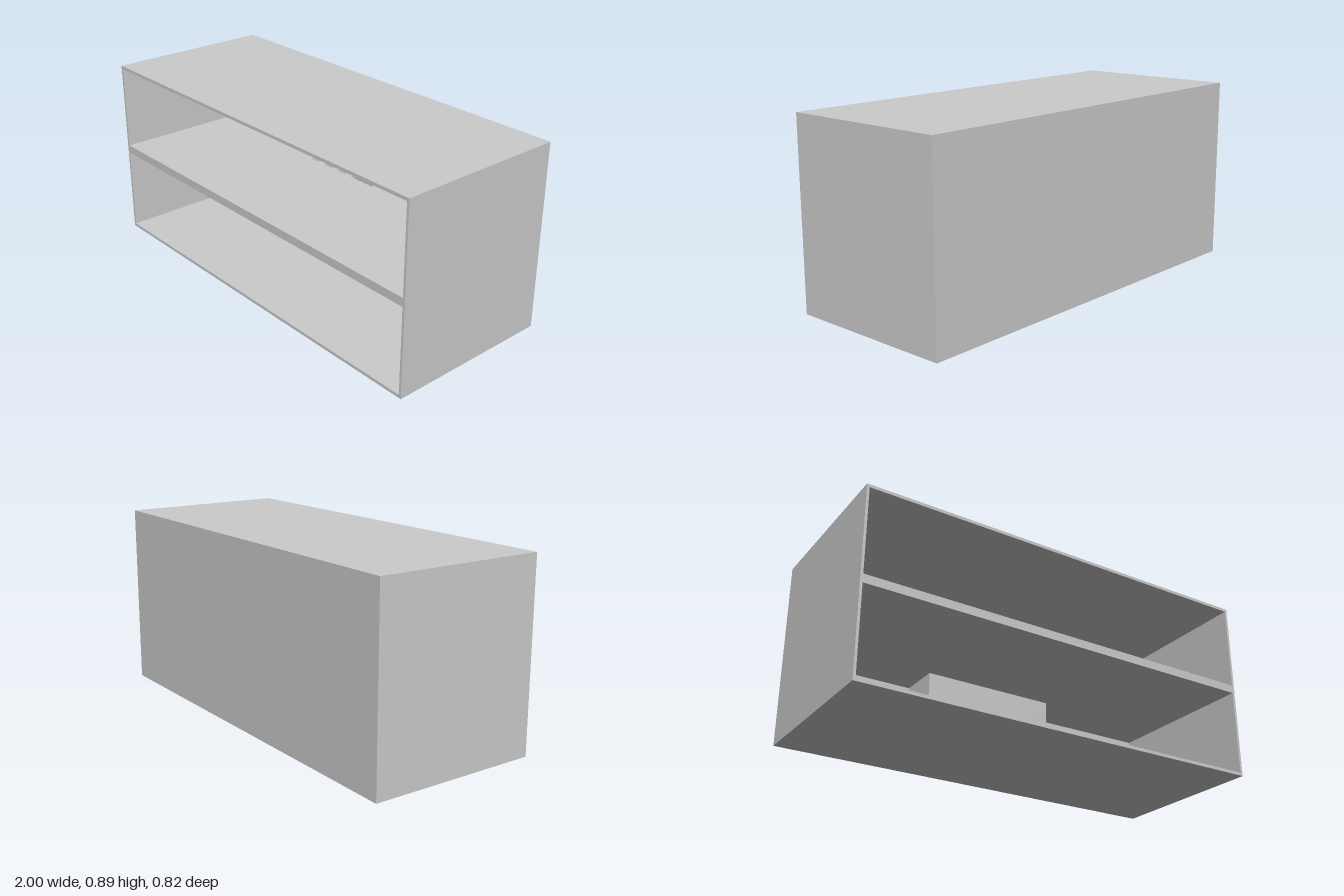
import * as THREE from 'three';

const material = new THREE.MeshStandardMaterial({ color: 0xcccccc, flatShading: true });

export function createModel() {
  const group = new THREE.Group();

  const add = (name, geometry) => {
    const mesh = new THREE.Mesh(geometry, material);
    mesh.name = name;
    group.add(mesh);
    return mesh;
  };
  // Box given by its lower and upper corners
  const box = (name, [x0, y0, z0], [x1, y1, z1]) => {
    add(name, new THREE.BoxGeometry(x1 - x0, y1 - y0, z1 - z0))
      .position.set((x0 + x1) / 2, (y0 + y1) / 2, (z0 + z1) / 2);
  };
  const shapeOf = (points) => new THREE.Shape(points.map(([x, y]) => new THREE.Vector2(x, y)));
  // Front-facing outline extruded from z0 to z1
  const slab = (name, points, z0, z1) => {
    const geometry = new THREE.ExtrudeGeometry(shapeOf(points), { depth: z1 - z0, bevelEnabled: false });
    add(name, geometry.translate(0, 0, z0));
  };

  const W = 1, H = 0.89, D = 0.41, side = 0.012, deck = 0.015;
  const shelfLow = 0.425, shelfTop = 0.465;

  // Outer case, open at the front
  box('floor', [-W, 0, -D], [W, deck, D]);
  box('roof', [-W, H - deck, -D], [W, H, D]);
  box('leftWall', [W - side, deck, -D], [W, H - deck, D]);
  box('rightWall', [-W, deck, -D], [-W + side, H - deck, D]);
  box('backWall', [-W + side, deck, -D], [W - side, H - deck, -D + side]);

  // Middle shelf with the stairwell opening
  const wellL = -0.253, wellR = 0.183, wellBack = -0.37, wellFront = -0.19;
  const inner = W - side, back = -D + side;
  const plan = shapeOf([[-inner, -D], [inner, -D], [inner, -back], [-inner, -back]]);
  plan.holes.push(shapeOf([
    [wellL, -wellFront], [wellL, -wellBack], [wellR, -wellBack], [wellR, -wellFront],
  ]));
  const shelf = new THREE.ExtrudeGeometry(plan, { depth: shelfTop - shelfLow, bevelEnabled: false });
  add('shelf', shelf.rotateX(-Math.PI / 2).translate(0, shelfLow, 0));

  // Block under the shelf: steps on one side of the well, a ramp on the other
  const blockL = -0.365, blockR = 0.293, wellX = -0.035, wellY = 0.30, steps = 5;
  const run = (wellX - wellL) / steps, rise = (shelfTop - wellY) / steps;
  const profile = [
    [blockL, deck], [blockR, deck], [blockR, shelfLow], [wellR, shelfLow], [wellR, shelfTop],
    [wellX, wellY],
  ];
  for (let i = steps - 1; i >= 0; i--) {
    const y = shelfTop - rise * (i + 1);
    if (i < steps - 1) profile.push([wellL + run * (i + 1), y]);
    profile.push([wellL + run * i, y]);
  }
  profile.push([wellL, shelfLow], [blockL, shelfLow]);
  slab('stairBlock', profile, wellBack, wellFront - 0.01);

  // Front panel with the V-shaped notch, and the backing behind the well
  slab('notchedPanel', [
    [blockL, deck], [blockR, deck], [blockR, shelfLow], [0.13, shelfLow],
    [wellX, wellY], [-0.2, shelfLow], [blockL, shelfLow],
  ], wellFront - 0.01, wellFront);
  box('blockBacking', [blockL, deck, back], [blockR, shelfLow, wellBack]);

  return group;
}
